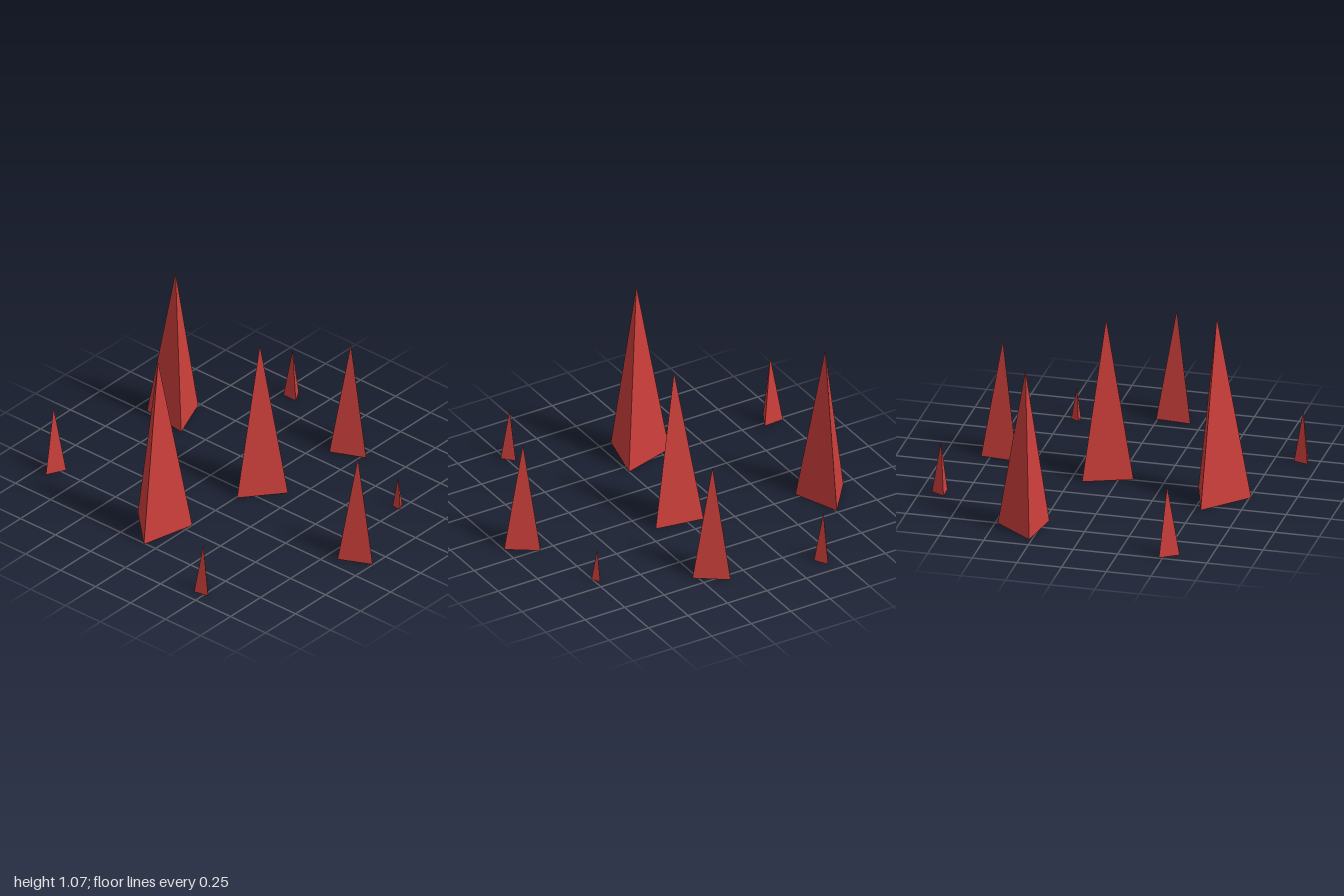
import * as THREE from 'three';

// Each spike: centre x, centre z, radius, height, turn in degrees
const SPIKES = [
  [-0.58, -0.128, 0.187, 1.07, 46.5],
  [0.324, -0.778, 0.163, 0.93, 81.6],
  [0.081, 0.033, 0.162, 0.92, 20.8],
  [0.692, 0.159, 0.12, 0.675, -5.8],
  [-0.095, 0.884, 0.114, 0.635, -4.7],
  [-0.51, -0.934, 0.069, 0.40, 33.8],
  [0.888, -0.425, 0.051, 0.30, 90],
  [-0.908, 0.477, 0.05, 0.30, -18],
  [0.424, 0.727, 0.032, 0.19, 90],
];

export function createModel() {
  const group = new THREE.Group();
  group.name = 'spikeField';
  const material = new THREE.MeshStandardMaterial({ color: 0xcc3f3b, flatShading: true });

  // Three-sided closed pyramids standing on the ground
  SPIKES.forEach(([x, z, radius, height, turn], i) => {
    const spike = new THREE.Mesh(new THREE.ConeGeometry(radius, height, 3), material);
    spike.name = `spike${i + 1}`;
    spike.position.set(x, height / 2, z);
    spike.rotation.y = THREE.MathUtils.degToRad(turn);
    group.add(spike);
  });

  return group;
}
